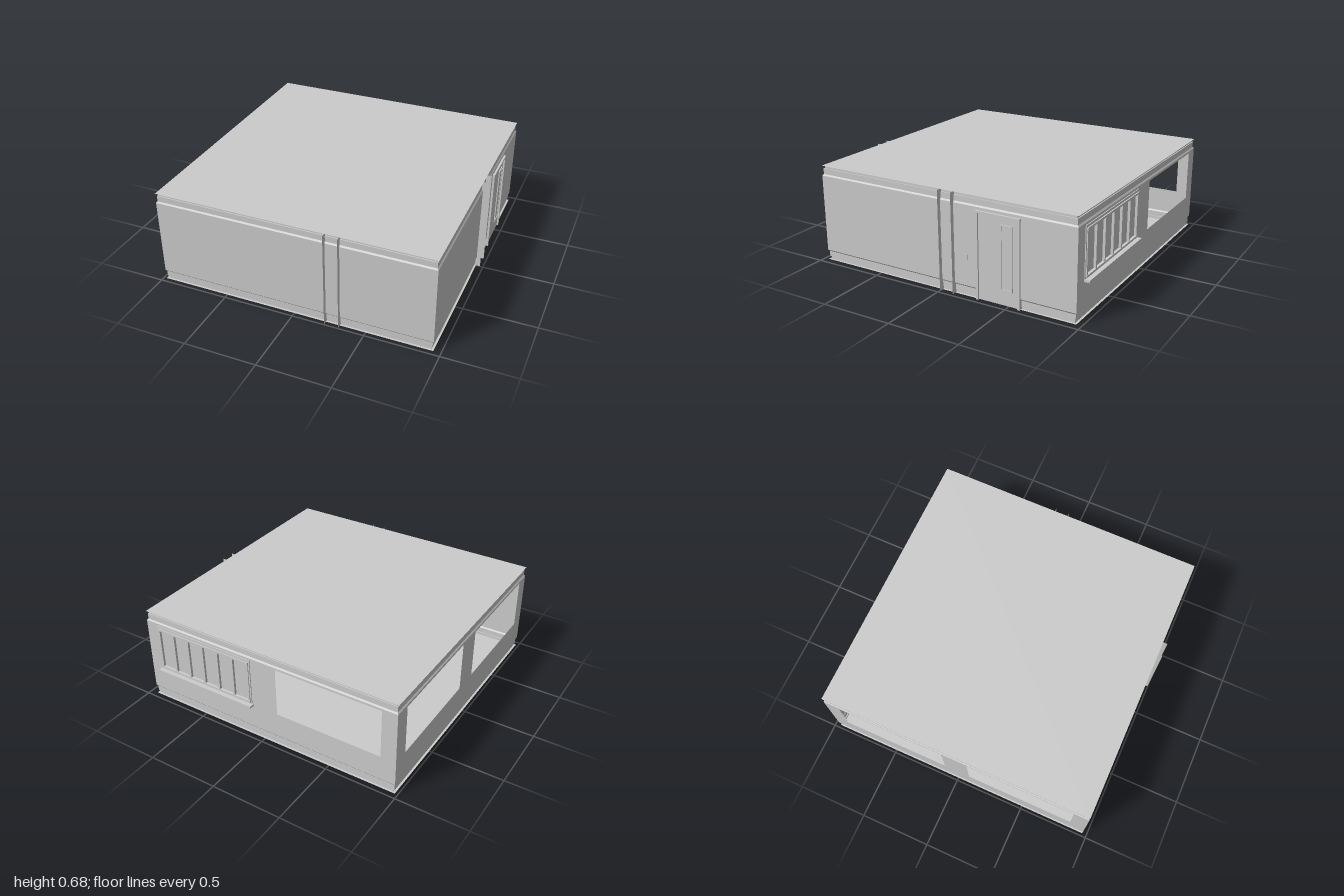
import * as THREE from 'three';

const CX = -0.015, CZ = 0.003, HALF = 0.965, H = 0.68;
const LOW = 0.07, HIGH = 0.61;

const mat = new THREE.MeshStandardMaterial({ color: 0xcccccc, flatShading: true, side: THREE.DoubleSide });

function add(parent, name, geo, x = 0, y = 0, z = 0) {
  const m = new THREE.Mesh(geo, mat);
  m.name = name;
  m.position.set(x, y, z);
  parent.add(m);
  return m;
}

// Box given by its min and max on each axis
function box(parent, name, x0, x1, y0, y1, z0, z1) {
  return add(parent, name, new THREE.BoxGeometry(x1 - x0, y1 - y0, z1 - z0),
    (x0 + x1) / 2, (y0 + y1) / 2, (z0 + z1) / 2);
}

function rectPath(P, u0, u1, v0, v1) {
  const p = new P();
  p.moveTo(u0, v0); p.lineTo(u1, v0); p.lineTo(u1, v1); p.lineTo(u0, v1); p.closePath();
  return p;
}

// Wall sheet facing outward; u runs to the right as seen from outside
function wall(parent, name, angle, openings = []) {
  const s = rectPath(THREE.Shape, -HALF, HALF, LOW, HIGH);
  for (const o of openings) s.holes.push(rectPath(THREE.Path, ...o));
  const geo = new THREE.ShapeGeometry(s);
  geo.translate(0, 0, HALF);
  geo.rotateY(angle);
  add(parent, name, geo, CX, 0, CZ);
}

// Square moulding running round the whole room, from [y, half width] points
function moulding(parent, name, pts) {
  const profile = pts.map(([y, r]) => new THREE.Vector2(r * Math.SQRT2, y));
  add(parent, name, new THREE.LatheGeometry(profile, 4, Math.PI / 4), CX, 0, CZ);
}

// Open-backed pilaster whose thin sides pass out through the wall
function pilaster(parent, name, x, z, angle) {
  const g = new THREE.Group();
  g.name = name;
  for (const s of [-1, 1]) {
    const side = new THREE.PlaneGeometry(0.06, H);
    side.rotateY(Math.PI / 2);
    add(g, 'pilasterSide', side, s * 0.049, H / 2, 0);
  }
  add(g, 'pilasterFace', new THREE.PlaneGeometry(0.098, H), 0, H / 2, -0.03);
  g.position.set(x, 0, z);
  g.rotation.y = angle;
  parent.add(g);
}

function buildWindow(parent) {
  const g = new THREE.Group();
  g.name = 'window';
  const x0 = 0.095, x1 = 0.85, y0 = 0.255, y1 = 0.595;
  box(g, 'windowGlass', x0, x1, y0, y1, -0.957, -0.953);
  // casing
  box(g, 'casingTop', x0 - 0.008, x1 + 0.008, y1 - 0.016, y1, -0.968, -0.945);
  for (const x of [x0, x1]) box(g, 'casingSide', x - 0.008, x + 0.008, y0, y1, -0.968, -0.945);
  // sash rails and upright bars
  for (const y of [y0 + 0.008, y1 - 0.03]) box(g, 'sashRail', x0, x1, y, y + 0.014, -0.976, -0.945);
  for (let i = 0; i <= 6; i++) {
    const x = x0 + 0.009 + (x1 - x0 - 0.018) * i / 6;
    box(g, 'windowBar', x - 0.007, x + 0.007, y0 + 0.008, y1 - 0.018, -0.974, -0.945);
  }
  box(g, 'windowSill', 0.077, 0.862, 0.24, 0.255, -1.0, -0.945);
  parent.add(g);
}

function buildDoor(parent) {
  const g = new THREE.Group();
  g.name = 'door';
  const za = -0.575, zb = -0.277;
  box(g, 'doorLeaf', 0.93, 0.954, 0.003, 0.58, za, zb);
  for (const z of [za, zb]) box(g, 'doorJamb', 0.925, 0.965, 0, 0.59, z - 0.008, z + 0.008);
  box(g, 'doorHead', 0.925, 0.965, 0.578, 0.592, za - 0.01, zb + 0.01);
  // narrow light in the leaf
  box(g, 'doorGlass', 0.928, 0.956, 0.105, 0.53, -0.525, -0.45);
  for (const z of [-0.525, -0.45]) box(g, 'lightTrimSide', 0.925, 0.961, 0.1, 0.533, z - 0.005, z + 0.005);
  for (const y of [0.105, 0.528]) box(g, 'lightTrimEnd', 0.925, 0.961, y - 0.005, y + 0.005, -0.53, -0.445);
  parent.add(g);
}

export function createModel() {
  const room = new THREE.Group();
  room.name = 'room';

  // Floor and ceiling sheets
  for (const [name, y, turn] of [['floor', 0, 1], ['ceiling', H, -1]]) {
    const geo = new THREE.PlaneGeometry(HALF * 2, HALF * 2);
    geo.rotateX(turn * Math.PI / 2);
    add(room, name, geo, CX, y, CZ);
  }

  // Skirting and cornice, stepped in from the wall plane
  const step = [[0, 0.95], [0.02, 0.95], [0.02, 0.957], [0.06, 0.957], [LOW, HALF]];
  moulding(room, 'skirting', step);
  moulding(room, 'cornice', step.map(([y, r]) => [H - y, r]).reverse());

  // Walls with their openings [u0, u1, v0, v1]
  wall(room, 'frontWall', 0);
  wall(room, 'rightWall', Math.PI / 2);
  wall(room, 'backWall', Math.PI, [[-0.865, -0.11, 0.255, 0.595], [0.095, 0.858, 0.247, 0.595]]);
  wall(room, 'leftWall', -Math.PI / 2, [[-0.85, -0.09, 0.247, 0.595], [0.095, 0.858, 0.247, 0.595]]);

  // Pilasters on the two closed walls
  pilaster(room, 'frontPilaster', 0.275, 0.968, 0);
  pilaster(room, 'rightPilaster', 0.949, -0.052, Math.PI / 2);

  buildWindow(room);
  buildDoor(room);

  // Switch plate beside the door
  box(room, 'switchPlate', 0.94, 0.955, 0.25, 0.285, -0.205, -0.17);
  return room;
}
